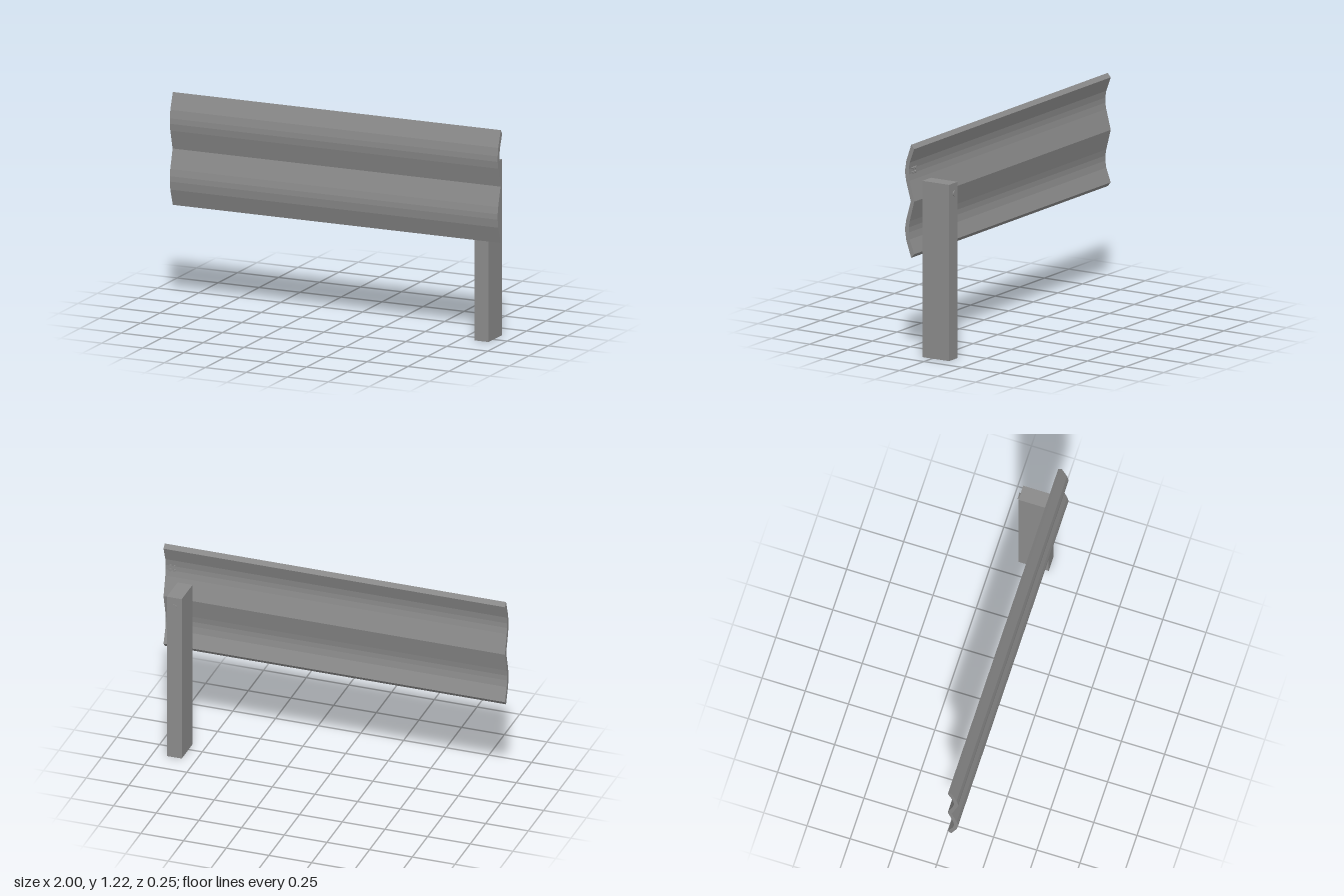
import * as THREE from 'three';

const material = new THREE.MeshStandardMaterial({ color: 0x8a8a8a, flatShading: true });

function add(parent, geometry, name) {
  const mesh = new THREE.Mesh(geometry, material);
  mesh.name = name;
  parent.add(mesh);
  return mesh;
}

// Bolt pointing to -z from its seat: narrow neck flaring into a wide flat head
function bolt(name, x, y, z, radius, length) {
  const group = new THREE.Group();
  group.name = name;
  const profile = [
    [0, 0], [0.5, 0], [0.5, 0.4], [1, 0.65], [1, 1], [0, 1],
  ].map(([r, h]) => new THREE.Vector2(r * radius, h * length));
  const geometry = new THREE.LatheGeometry(profile, 16);
  geometry.rotateX(-Math.PI / 2);
  add(group, geometry, 'boltBody');
  group.position.set(x, y, z);
  return group;
}

export function createModel() {
  const model = new THREE.Group();
  model.name = 'guardRail';

  // Corrugated rail: one wave as [z, y], mirrored about the middle crease
  const middle = 0.898;
  const outer = [[0.1165, 1.007], [0.123, 1.047], [0.123, 1.078], [0.116, 1.125], [0.084, 1.219]];
  const inner = [[0.094, 1.013], [0.1, 1.048], [0.1, 1.077], [0.094, 1.116], [0.0645, 1.196]];
  const wave = (side, crease) => [
    ...side.map(([z, y]) => [z, 2 * middle - y]).reverse(),
    [crease, middle],
    ...side,
  ];
  const outline = [...wave(outer, 0.0865), ...wave(inner, 0.0645).reverse()];
  const shape = new THREE.Shape(outline.map(([z, y]) => new THREE.Vector2(z, y)));
  const railGeometry = new THREE.ExtrudeGeometry(shape, { depth: 2, bevelEnabled: false });
  railGeometry.translate(0, 0, -1);
  railGeometry.rotateY(-Math.PI / 2);
  add(model, railGeometry, 'rail');

  // Post behind the left end of the rail
  const post = add(model, new THREE.BoxGeometry(0.087, 1, 0.175), 'post');
  post.position.set(0.8735, 0.5, -0.0235);

  // Bolt on the back of the post
  model.add(bolt('postBolt', 0.872, 0.945, -0.111, 0.018, 0.0125));

  // Two by two splice bolts on the back of the rail
  for (const x of [0.945, 0.969]) {
    for (const y of [1.056, 1.081]) {
      model.add(bolt('spliceBolt', x, y, 0.101, 0.008, 0.016));
    }
  }
  return model;
}
